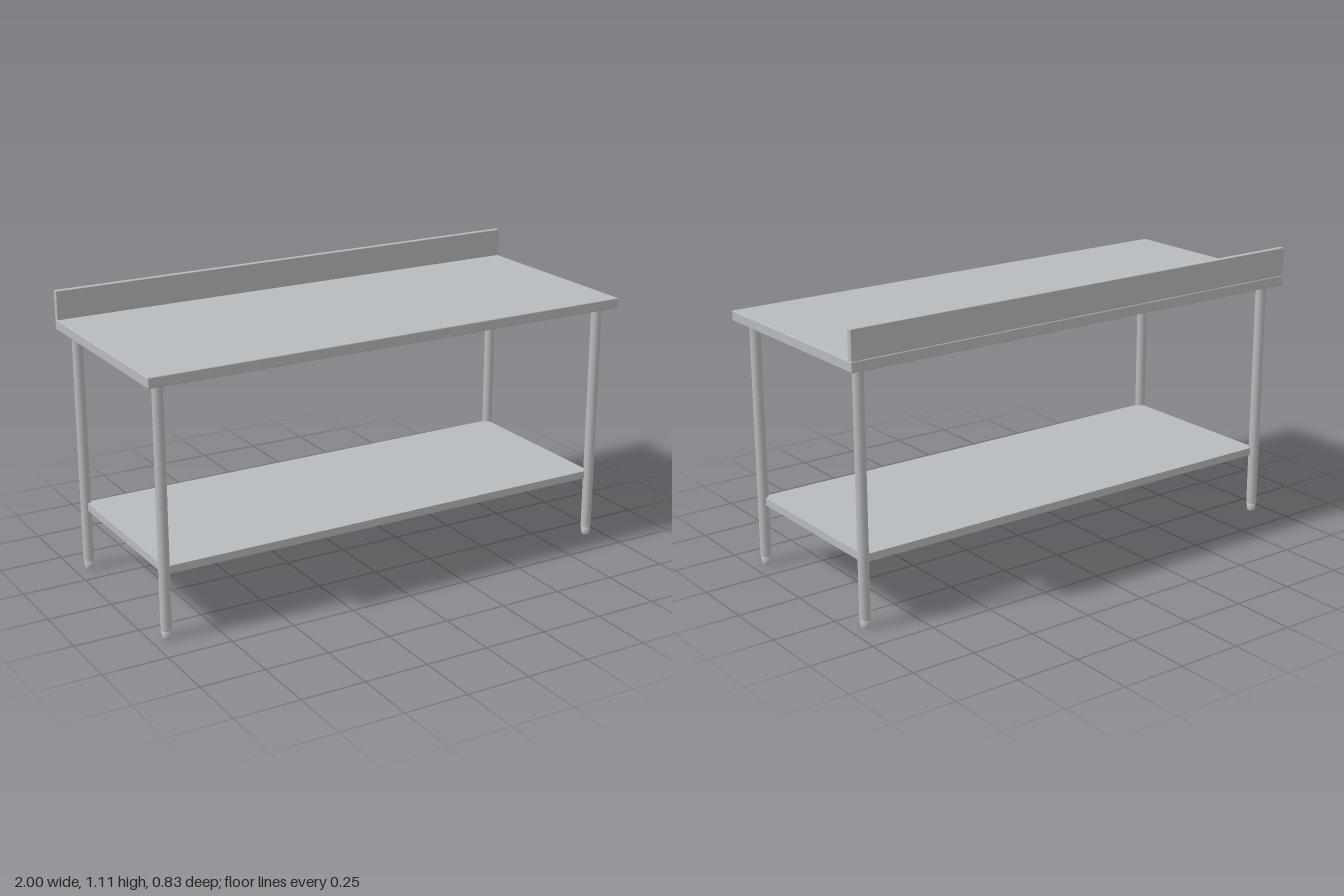
import * as THREE from 'three';
import { RoundedBoxGeometry } from 'three/addons/geometries/RoundedBoxGeometry.js';

export function createModel() {
  const table = new THREE.Group();
  table.name = 'workTable';

  const steel = new THREE.MeshStandardMaterial({ color: 0xb8bbbe });
  steel.name = 'brushed steel';

  const add = (name, geometry, x, y, z, parent = table) => {
    const mesh = new THREE.Mesh(geometry, steel);
    mesh.name = name;
    mesh.position.set(x, y, z);
    parent.add(mesh);
  };

  // worktop with softened edges
  add('worktop', new RoundedBoxGeometry(2, 0.04, 0.83, 2, 0.004), 0, 0.98, 0);

  // upstand along the back edge
  add('backsplash', new RoundedBoxGeometry(2, 0.112, 0.022, 2, 0.003), 0, 1.056, -0.404);

  // lower shelf, its corners meeting the leg centres
  add('shelf', new THREE.BoxGeometry(1.88, 0.03, 0.712), 0, 0.26, 0);

  // four tubular legs, each with a tapered foot
  const tube = new THREE.CylinderGeometry(0.0205, 0.0205, 0.927, 16);
  const foot = new THREE.LatheGeometry([
    [0, 0], [0.014, 0], [0.016, 0.003], [0.0195, 0.033], [0, 0.033],
  ].map(([r, y]) => new THREE.Vector2(r, y)), 16);
  for (const x of [-0.94, 0.94]) {
    for (const z of [-0.356, 0.356]) {
      const leg = new THREE.Group();
      leg.name = (z > 0 ? 'front' : 'back') + (x > 0 ? 'Left' : 'Right') + 'Leg';
      leg.position.set(x, 0, z);
      add('legTube', tube, 0, 0.4965, 0, leg);
      add('foot', foot, 0, 0, 0, leg);
      table.add(leg);
    }
  }

  return table;
}
